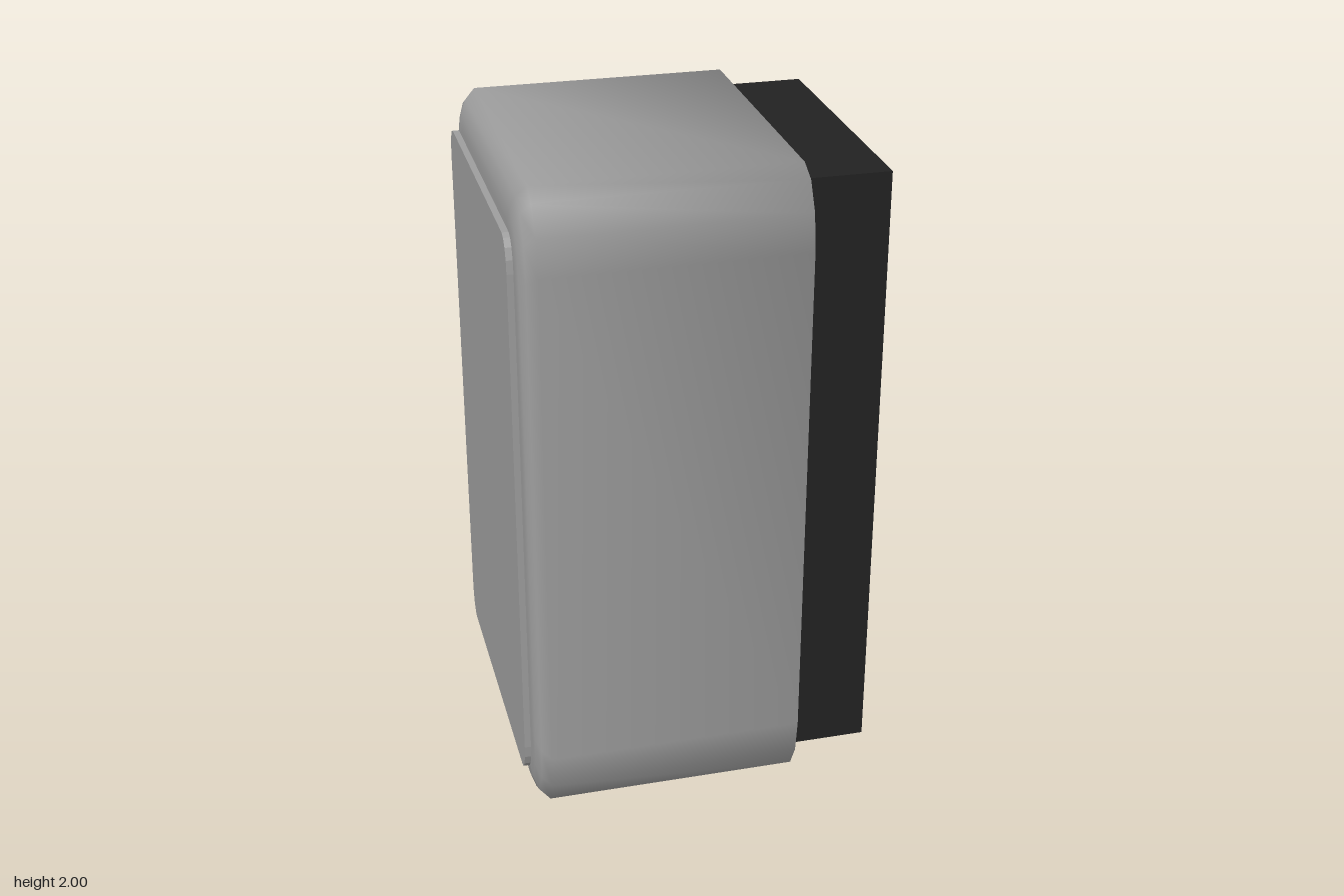
import * as THREE from 'three';

// Rounded rectangle outline in the y/z plane: half sizes h, w with elliptical corners ry, rz
function outline(h, w, ry, rz, steps) {
  const points = [];
  for (let c = 0; c < 4; c++) {
    const mid = (c + 0.5) * Math.PI / 2;
    const cy = Math.sign(Math.sin(mid)) * (h - ry);
    const cz = -Math.sign(Math.cos(mid)) * (w - rz);
    for (let s = 0; s <= steps; s++) {
      const t = (c + s / steps) * Math.PI / 2;
      points.push([cy + ry * Math.sin(t), cz - rz * Math.cos(t)]);
    }
  }
  return points;
}

// Closed loft of an outline along x; rings are [x, scale] in order of rising x
function loft(points, rings) {
  const n = points.length, pos = [], index = [];
  for (const [x, s] of rings) for (const [y, z] of points) pos.push(x, 1 + y * s, z * s);
  for (let r = 0; r < rings.length - 1; r++) {
    for (let i = 0; i < n; i++) {
      const a = r * n + i, b = r * n + (i + 1) % n;
      index.push(a, b, b + n, a, b + n, a + n);
    }
  }
  const first = rings.length * n, last = (rings.length - 1) * n;
  pos.push(rings[0][0], 1, 0, rings[rings.length - 1][0], 1, 0);
  for (let i = 0; i < n; i++) {
    const j = (i + 1) % n;
    index.push(first, j, i, first + 1, last + i, last + j);
  }
  const geometry = new THREE.BufferGeometry();
  geometry.setAttribute('position', new THREE.Float32BufferAttribute(pos, 3));
  geometry.setIndex(index);
  geometry.computeVertexNormals();
  return geometry;
}

export function createModel() {
  const grey = new THREE.MeshStandardMaterial({ color: 0x9e9e9e });
  grey.name = 'grey';
  const black = new THREE.MeshStandardMaterial({ color: 0x222222 });
  black.name = 'black';
  const group = new THREE.Group();
  const add = (name, geometry, material) => {
    const mesh = new THREE.Mesh(geometry, material);
    mesh.name = name;
    group.add(mesh);
    return mesh;
  };

  // Softly rounded housing, its outer end eased over in a few rings
  add('housing', loft(outline(1, 0.553, 0.22, 0.12, 3), [
    [-0.527, 0.885], [-0.522, 0.93], [-0.507, 0.97], [-0.477, 1], [0.292, 1],
  ]), grey);

  // Thin raised plate on the outer end, with crisp edges
  const plate = loft(outline(0.873, 0.483, 0.1, 0.055, 4), [
    [-0.53, 1], [-0.549, 1],
  ].reverse()).toNonIndexed();
  plate.computeVertexNormals();
  add('endPlate', plate, grey);

  // Dark block on the inner end
  add('mountBlock', new THREE.BoxGeometry(0.257, 1.895, 0.864), black)
    .position.set(0.4205, 1.003, 0);

  return group;
}
